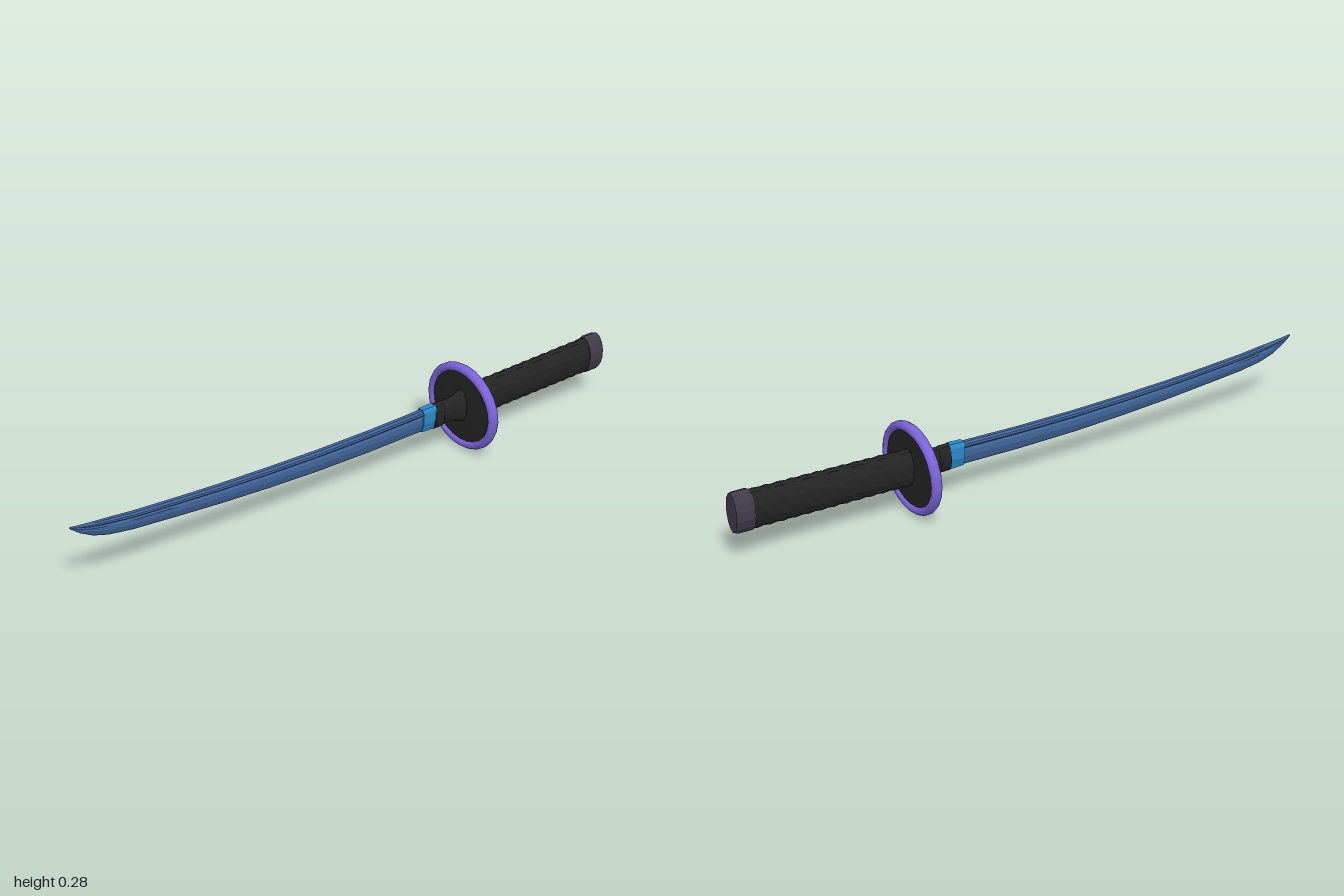
import * as THREE from 'three';

const paint = (name, color) => {
  const m = new THREE.MeshStandardMaterial({ color });
  m.name = name;
  return m;
};

// Skins a row of closed rings of [x, y, z] points with flat faces and capped ends.
function loft(rings) {
  const pos = [];
  const tri = (a, b, c) => pos.push(...a, ...b, ...c);
  const n = rings[0].length;
  for (let i = 0; i < rings.length - 1; i++) {
    for (let j = 0; j < n; j++) {
      const k = (j + 1) % n;
      const [a, b, c, d] = [rings[i][j], rings[i][k], rings[i + 1][k], rings[i + 1][j]];
      tri(a, b, c);
      tri(a, c, d);
    }
  }
  const centre = (ring) => [0, 1, 2].map((k) => ring.reduce((s, p) => s + p[k], 0) / n);
  const first = rings[0], last = rings[rings.length - 1];
  const c0 = centre(first), c1 = centre(last);
  for (let j = 0; j < n; j++) {
    const k = (j + 1) % n;
    tri(c0, first[k], first[j]);
    tri(c1, last[j], last[k]);
  }
  const g = new THREE.BufferGeometry();
  g.setAttribute('position', new THREE.Float32BufferAttribute(pos, 3));
  g.computeVertexNormals();
  return g;
}

// Oval ring across the sword, from its bottom and top heights and half width.
function oval(x, bottom, top, halfWidth, sides = 16, bump = () => 0) {
  return Array.from({ length: sides }, (_, j) => {
    const a = (j / sides) * Math.PI * 2;
    const s = 1 + bump(j);
    return [x, (top + bottom) / 2 + Math.cos(a) * s * (top - bottom) / 2, Math.sin(a) * s * halfWidth];
  });
}

export function createModel() {
  const steel = paint('blade blue', 0x41659a);
  const bright = paint('collar blue', 0x2a8acb);
  const black = paint('wrap black', 0x242424);
  const purple = paint('rim purple', 0x7b63d8);
  const grey = paint('pommel grey', 0x423a4a);

  const model = new THREE.Group();
  model.name = 'sword';
  const add = (name, geometry, material) => {
    const mesh = new THREE.Mesh(geometry, material);
    mesh.name = name;
    model.add(mesh);
    return mesh;
  };

  // Blade: half section [height fraction, half width] with a groove below the spine
  const half = [[1, 0.006], [0.92, 0.012], [0.82, 0.013], [0.74, 0.008], [0.64, 0.012], [0.4, 0.012], [0.12, 0.006], [0, 0.001]];
  const section = [...half, ...half.map(([v, z]) => [v, -z]).reverse()];
  // Stations along the curve: x, edge height, spine height, width scale
  const stations = [
    [-1, 0.231, 0.236, 0.3], [-0.97, 0.207, 0.231, 0.6], [-0.93, 0.184, 0.226, 0.8],
    [-0.88, 0.168, 0.221, 0.9], [-0.8, 0.155, 0.212, 1], [-0.65, 0.141, 0.201, 1],
    [-0.5, 0.128, 0.192, 1], [-0.33, 0.117, 0.185, 1], [-0.15, 0.109, 0.18, 1],
    [0.05, 0.106, 0.179, 1], [0.27, 0.108, 0.183, 1],
  ];
  add('blade', loft(stations.map(([x, lo, hi, w]) =>
    section.map(([v, z]) => [x, lo + (hi - lo) * v, z * w]))), steel);

  // Collar holding the blade
  const collarRing = (x, grow) => [[1, 0.01], [0.85, 0.017], [0.4, 0.016], [0, 0.006]]
    .flatMap(([v, z], i, list) => (i === 3 ? [...list, ...list.map((p) => [p[0], -p[1]]).reverse()] : []))
    .map(([v, z]) => [x, 0.105 + grow + v * (0.083 - 2 * grow), z]);
  add('collar', loft([collarRing(0.25, 0.002), collarRing(0.3, 0)]), bright);

  // Neck between collar and guard, with a small flare against the guard
  add('neck', loft([
    oval(0.298, 0.1, 0.191, 0.02, 12), oval(0.33, 0.1, 0.191, 0.021, 12),
    oval(0.336, 0.104, 0.188, 0.017, 12), oval(0.385, 0.1, 0.193, 0.02, 12),
    oval(0.4, 0.094, 0.2, 0.028, 12), oval(0.42, 0.088, 0.206, 0.035, 12),
  ]), black);

  // Guard plate and rim
  const guardX = 0.423, guardY = 0.142;
  const plate = (dx, s) => oval(guardX + dx, guardY - 0.123 * s, guardY + 0.123 * s, 0.138 * s, 24);
  add('guardPlate', loft([plate(-0.011, 0.35), plate(-0.008, 1), plate(0.008, 1), plate(0.011, 0.35)]), black);

  const loop = Array.from({ length: 24 }, (_, i) => {
    const a = (i / 24) * Math.PI * 2;
    return new THREE.Vector3(0, Math.cos(a) * 0.128, Math.sin(a) * 0.144);
  });
  const rim = new THREE.TubeGeometry(new THREE.CatmullRomCurve3(loop, true), 24, 0.0145, 10, true);
  rim.scale(1.2, 1, 1);
  rim.translate(guardX, guardY, 0);
  add('guardRim', rim, purple);

  // Handle with a shallow crossing wrap pattern
  const rows = 26;
  const gripRings = Array.from({ length: rows + 1 }, (_, i) => {
    const t = i / rows;
    return oval(0.425 + t * 0.525, 0.089 + t * 0.008, 0.207 + t * 0.012, 0.034, 16,
      (j) => ((i + j) % 4 === 0 || (i - j + 64) % 4 === 0 ? 0.025 : -0.025));
  });
  add('handle', loft(gripRings), black);

  // Pommel cap
  add('pommel', loft([
    oval(0.943, 0.095, 0.221, 0.037, 14), oval(0.95, 0.094, 0.225, 0.039, 14),
    oval(0.992, 0.095, 0.225, 0.039, 14), oval(1, 0.099, 0.222, 0.036, 14),
  ]), grey);

  return model;
}
